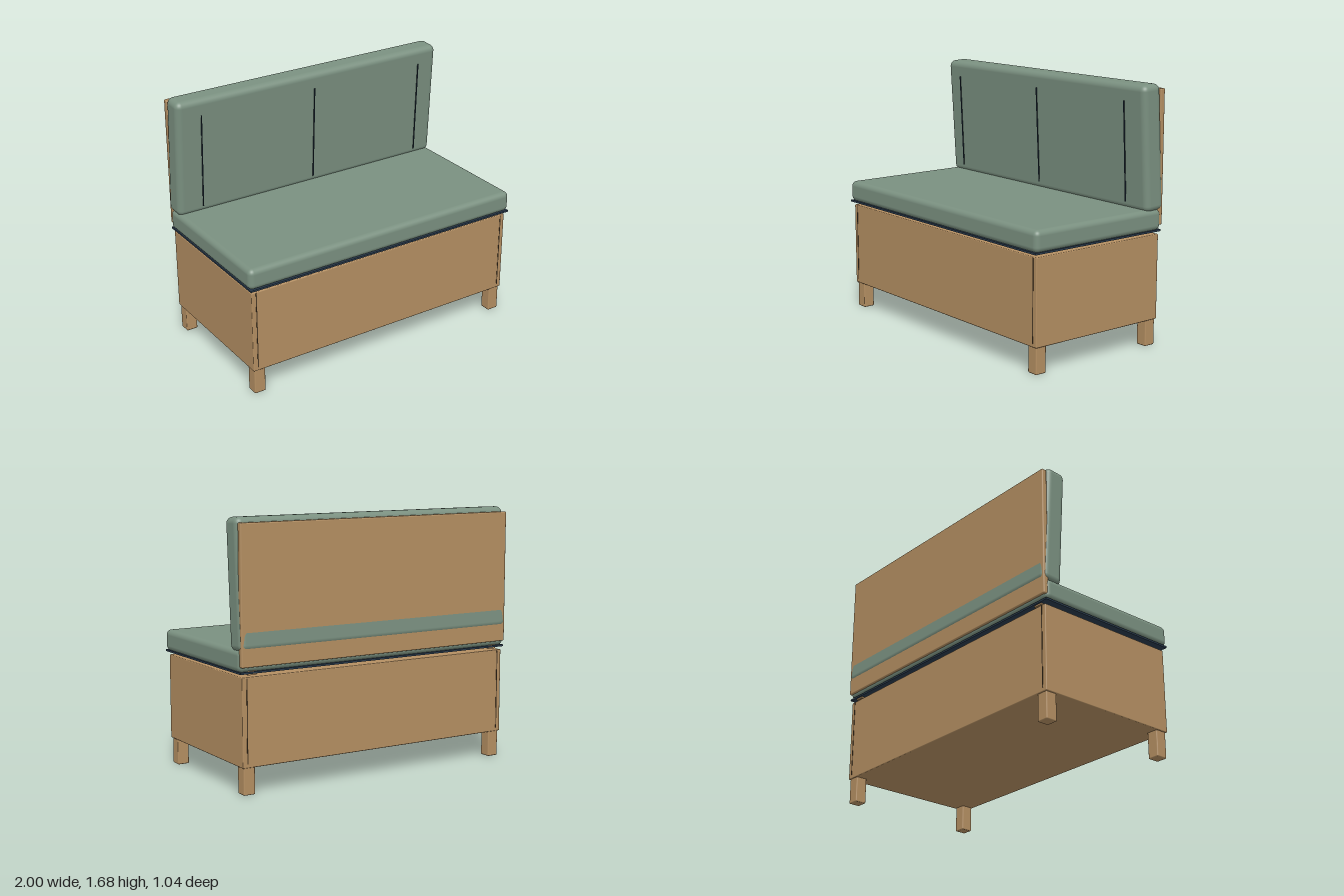
import * as THREE from 'three';
import { RoundedBoxGeometry } from 'three/addons/geometries/RoundedBoxGeometry.js';

function material(name, color) {
  const m = new THREE.MeshStandardMaterial({ color });
  m.name = name;
  return m;
}

export function createModel() {
  const group = new THREE.Group();
  const wood = material('oak wood', 0xb48f62);
  const fabric = material('sage fabric', 0x7a9080);
  const navy = material('navy piping', 0x2a3b4d);
  const groove = material('dark groove', 0x4a3a28);

  // Box spanning two corners, softened when a radius is given
  function block(name, mat, [x0, y0, z0], [x1, y1, z1], radius = 0, segments = 2) {
    const size = [x1 - x0, y1 - y0, z1 - z0];
    const geo = radius
      ? new RoundedBoxGeometry(...size, segments, radius)
      : new THREE.BoxGeometry(...size);
    const mesh = new THREE.Mesh(geo, mat);
    mesh.name = name;
    mesh.position.set((x0 + x1) / 2, (y0 + y1) / 2, (z0 + z1) / 2);
    group.add(mesh);
    return mesh;
  }

  // Storage base
  block('base', wood, [-0.98, 0.17, -0.495], [0.98, 0.725, 0.505], 0.006);

  for (const s of [-1, 1]) {
    // Legs
    for (const z of [-0.448, 0.457]) {
      const x = s * 0.932;
      block('leg', wood, [x - 0.039, 0, z - 0.039], [x + 0.039, 0.18, z + 0.039], 0.007);
    }
    // Panel joints near the corners, front and back
    for (const z of [-0.495, 0.505]) {
      const x = s * 0.948;
      block('panelJoint', groove, [x - 0.003, 0.195, z - 0.002], [x + 0.003, 0.72, z + 0.002]);
    }
    // Backrest brackets, showing just below the seat
    const bracket = block('backBracket', wood,
      [s * 0.908 - 0.03, 0.735, -0.485], [s * 0.908 + 0.03, 1.0, -0.465]);
    bracket.rotation.x = 0.03;
  }

  // Seat with its edge piping
  block('seatPiping', navy, [-0.995, 0.745, -0.5], [0.995, 0.757, 0.525]);
  block('seatCushion', fabric, [-1, 0.752, -0.5], [1, 0.89, 0.525], 0.035, 4);

  // Upright board behind the cushion
  block('backBoard', wood, [-0.992, 0.785, -0.514], [0.992, 1.645, -0.477], 0.008);

  // Back cushion, leaning over the seat
  const tilt = 0.06;
  const back = block('backCushion', fabric, [-1, 0.875, -0.497], [1, 1.675, -0.348], 0.04, 4);
  back.rotation.x = tilt;

  // Stitched seams standing in front of the back cushion
  for (const x of [-0.838, 0, 0.838]) {
    const seam = block('seam', navy, [x - 0.003, 0.93, -0.328], [x + 0.003, 1.57, -0.322]);
    seam.rotation.x = 0.048;
  }

  return group;
}
